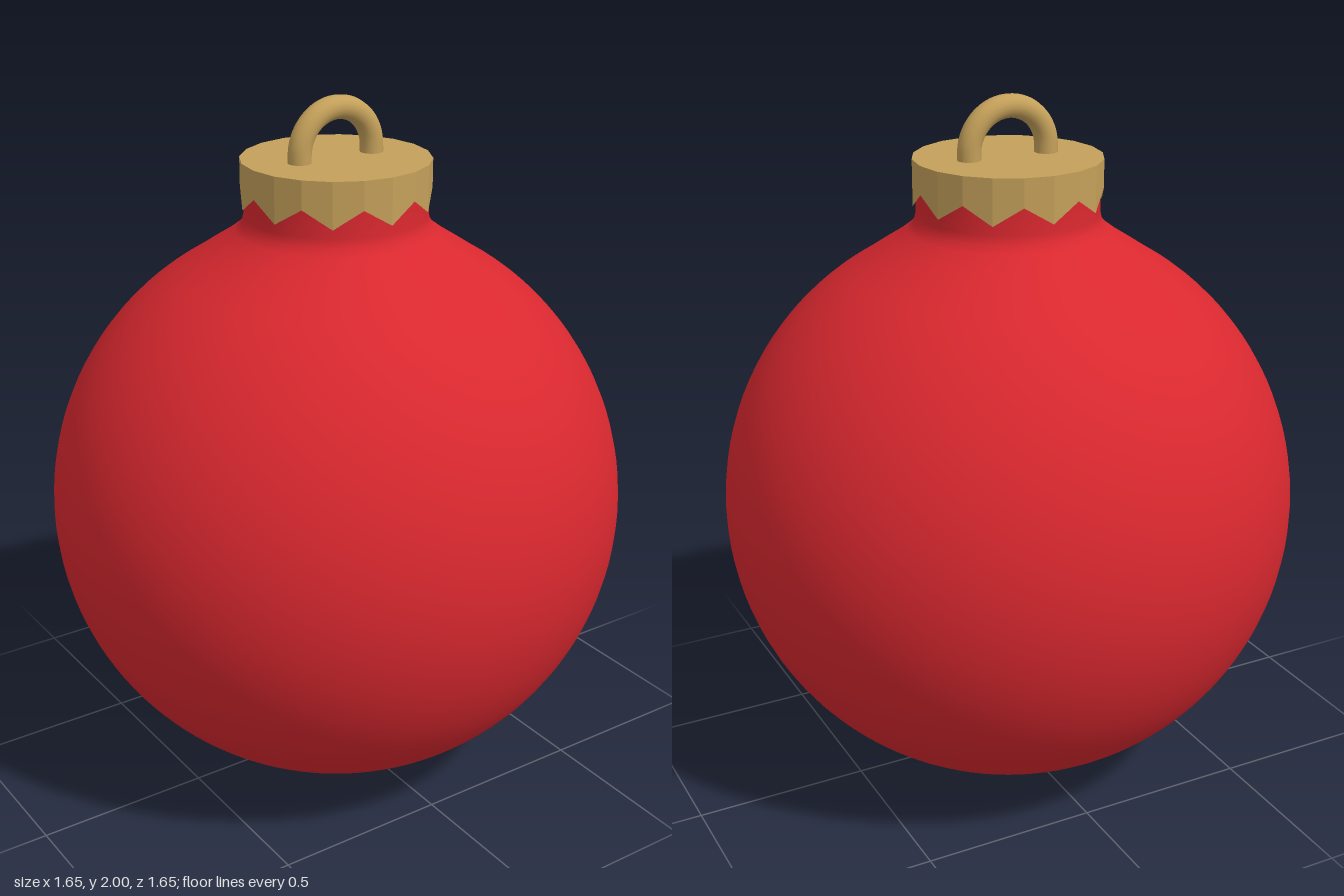
import * as THREE from 'three';

const red = new THREE.MeshStandardMaterial({ color: 0xd9282f });
const gold = new THREE.MeshStandardMaterial({ color: 0xc4a05a });
const goldFaceted = new THREE.MeshStandardMaterial({ color: 0xc4a05a, flatShading: true, side: THREE.DoubleSide });

const RADIUS = 0.825;
const CAP_RADIUS = 0.265, CAP_TOP = 1.83, CAP_SIDES = 20;

function addMesh(parent, name, geometry, material) {
  const mesh = new THREE.Mesh(geometry, material);
  mesh.name = name;
  parent.add(mesh);
  return mesh;
}

// Glass ball: a sphere profile that flares smoothly into a short neck
function baubleGeometry() {
  const profile = [];
  const steps = 48, end = Math.acos(0.42 / RADIUS);
  for (let i = 0; i <= steps; i++) {
    const a = THREE.MathUtils.lerp(-Math.PI / 2, end, i / steps);
    profile.push(new THREE.Vector2(i ? RADIUS * Math.cos(a) : 0, RADIUS + RADIUS * Math.sin(a)));
  }
  const neck = [[0.375, 1.565], [0.32, 1.6], [0.28, 1.63], [0.262, 1.65], [0.256, 1.675], [0.256, 1.74], [0.256, 1.8]];
  neck.forEach(([x, y]) => profile.push(new THREE.Vector2(x, y)));
  return new THREE.LatheGeometry(profile, 80);
}

// Cap wall: open faceted cylinder whose lower rim alternates low and high
function capWallGeometry() {
  const geometry = new THREE.CylinderGeometry(CAP_RADIUS, CAP_RADIUS, 1, CAP_SIDES, 1, true);
  const pos = geometry.attributes.position;
  for (let i = 0; i < pos.count; i++) {
    const column = i % (CAP_SIDES + 1);
    const rim = column % 2 === 0 ? 1.7 : 1.75;
    pos.setY(i, pos.getY(i) > 0 ? CAP_TOP : rim);
  }
  return geometry;
}

// Hanging loop: half ring with short legs sunk into the cap
function loopGeometry() {
  const r = 0.118, centerY = 1.849;
  const path = new THREE.CurvePath();
  const points = [new THREE.Vector3(r, 1.8, 0)];
  for (let i = 0; i <= 16; i++) {
    const a = Math.PI * i / 16;
    points.push(new THREE.Vector3(r * Math.cos(a), centerY + r * Math.sin(a), 0));
  }
  points.push(new THREE.Vector3(-r, 1.8, 0));
  return new THREE.TubeGeometry(new THREE.CatmullRomCurve3(points), 48, 0.033, 16);
}

export function createModel() {
  const model = new THREE.Group();
  model.name = 'ornament';
  addMesh(model, 'ball', baubleGeometry(), red);

  const cap = new THREE.Group();
  cap.name = 'cap';
  addMesh(cap, 'capWall', capWallGeometry(), goldFaceted);
  const lid = addMesh(cap, 'capLid', new THREE.CircleGeometry(CAP_RADIUS, CAP_SIDES), goldFaceted);
  lid.rotation.x = -Math.PI / 2;
  lid.position.y = CAP_TOP;
  model.add(cap);

  addMesh(model, 'hangingLoop', loopGeometry(), gold);
  return model;
}
